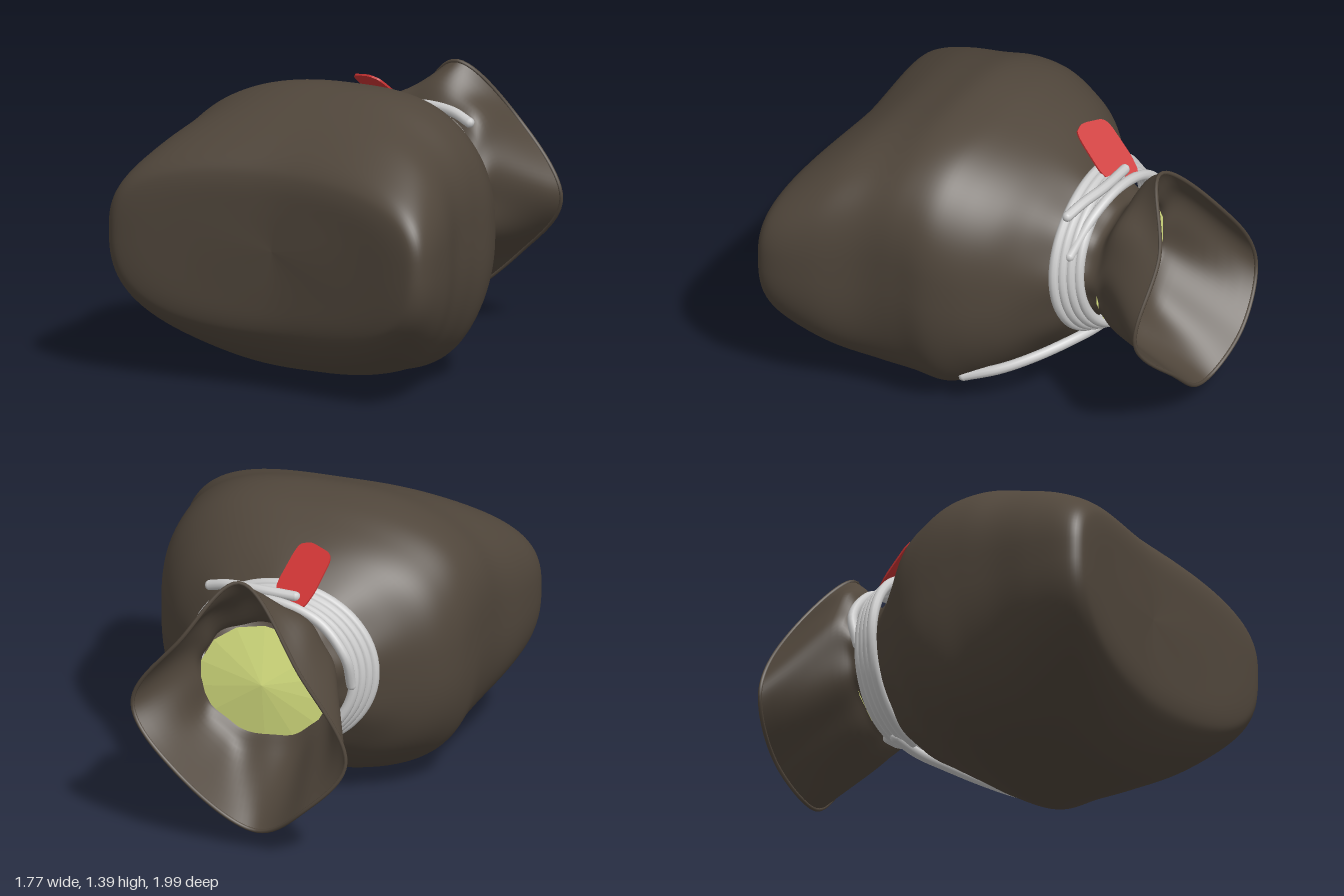
import * as THREE from 'three';

const V = (x, y, z) => new THREE.Vector3(x, y, z);
const mat = (color) => new THREE.MeshStandardMaterial({ color, side: THREE.DoubleSide });
const spow = (v, p) => Math.sign(v) * Math.pow(Math.abs(v), p);
const step = THREE.MathUtils.smoothstep;

// Sack cross-sections, base to neck: z, left x, right x, bottom y, top y, squareness
const SECTIONS = [
  [0.89, 0, 0, 0.7, 0.7, 2],
  [0.89, -0.42, 0.42, 0.47, 0.9, 2.5],
  [0.88, -0.74, 0.74, 0.33, 1.03, 2.8],
  [0.845, -0.85, 0.85, 0.25, 1.11, 2.7],
  [0.76, -0.885, 0.885, 0.16, 1.19, 2.6],
  [0.62, -0.87, 0.86, 0.075, 1.28, 2.6],
  [0.46, -0.83, 0.79, 0.03, 1.34, 2.7],
  [0.3, -0.82, 0.77, 0.015, 1.385, 2.7],
  [0.14, -0.81, 0.76, 0.0, 1.37, 2.7],
  [0, -0.78, 0.71, 0.055, 1.32, 2.5],
  [-0.12, -0.71, 0.63, 0.13, 1.26, 2.4],
  [-0.24, -0.57, 0.52, 0.21, 1.185, 2.2],
  [-0.36, -0.44, 0.42, 0.295, 1.1, 2],
  [-0.46, -0.37, 0.35, 0.42, 1.03, 2],
  [-0.55, -0.34, 0.33, 0.45, 1.01, 2],
  [-0.65, -0.39, 0.36, 0.33, 1.18, 2],
];

// Flared, wavy rim of the mouth, clockwise from the top
const RIM = new THREE.CatmullRomCurve3([
  V(0.06, 1.295, -0.76), V(0.31, 1.02, -0.9), V(0.55, 0.66, -0.9), V(0.3, 0.36, -0.97),
  V(-0.08, 0.1, -0.93), V(-0.34, 0.26, -0.985), V(-0.54, 0.52, -0.95), V(-0.29, 0.94, -0.91),
], true);

function sectionPoint([z, xl, xr, yb, yt, n], a) {
  // Soft lumps on the belly, gathered folds near the neck
  const neck = step(-z, 0.1, 0.5), full = step(z, -0.2, 0.3), belly = full * (1 - step(z, 0.6, 0.85));
  const s = 1 + neck * 0.02 * Math.sin(9 * a + 1) + belly * 0.006 * Math.sin(5 * a + 6 * z);
  const c = Math.cos(a), cy = yb + (0.5 + 0.05 * full) * (yt - yb);
  const x = (xl + xr) / 2 + s * (xr - xl) / 2 * spow(Math.sin(a), 2 / n) + 0.06 * belly * c ** 4;
  const y = cy + s * (c > 0 ? yt - cy : cy - yb) * spow(c, 2 / n);
  // The base corners reach further forward than its middle
  const reach = x < 0 ? 0.105 : 0.13;
  return V(x, y, z + step(z, 0.3, 0.9) * reach * Math.pow(Math.abs(x) / 0.8, 1.5));
}

function sackGeometry(cols = 120, rows = 96) {
  const pos = [], index = [];
  for (let j = 0; j < cols; j++) {
    const a = j / cols * Math.PI * 2;
    const points = SECTIONS.map((s) => sectionPoint(s, a));
    points.push(RIM.getPoint(j / cols));
    const curve = new THREE.CatmullRomCurve3(points, false, 'catmullrom', 0.5);
    for (let i = 0; i <= rows; i++) pos.push(...curve.getPoint(i / rows).toArray());
  }
  for (let j = 0; j < cols; j++) {
    for (let i = 0; i < rows; i++) {
      const p = j * (rows + 1) + i, q = ((j + 1) % cols) * (rows + 1) + i;
      index.push(p, q, p + 1, q, q + 1, p + 1);
    }
  }
  const g = new THREE.BufferGeometry();
  g.setAttribute('position', new THREE.Float32BufferAttribute(pos, 3));
  g.setIndex(index);
  g.computeVertexNormals();
  return g;
}

export function createModel() {
  const model = new THREE.Group();
  const add = (name, geometry, material, parent = model) => {
    const mesh = new THREE.Mesh(geometry, material);
    mesh.name = name;
    parent.add(mesh);
    return mesh;
  };
  const cloth = mat(0x50463b), rope = mat(0xcccccc);

  // Cloth sack with a thin hem on the rim
  add('sack', sackGeometry(), cloth);
  add('hem', new THREE.TubeGeometry(RIM, 120, 0.01, 6, true), cloth);

  // Faceted filling seen inside the mouth
  const filling = add('filling', new THREE.ConeGeometry(1, 1, 14, 1, true), mat(0xdfe985));
  filling.material.flatShading = true;
  filling.rotation.x = -Math.PI / 2;
  filling.scale.set(0.33, 0.05, 0.29);
  filling.position.set(0, 0.71, -0.59);

  // Rope: coils around the neck with round ends
  const binding = new THREE.Group();
  binding.name = 'rope';
  model.add(binding);
  const R = 0.025;
  const cord = (name, points, segments) => {
    add(name, new THREE.TubeGeometry(new THREE.CatmullRomCurve3(points), segments, R, 10), rope, binding);
    for (const p of [points[0], points[points.length - 1]])
      add(name + 'End', new THREE.SphereGeometry(R, 10, 8), rope, binding).position.copy(p);
  };
  const coil = [], turns = 4;
  for (let i = 0; i <= turns * 24; i++) {
    const t = i / 24, a = t * Math.PI * 2 + Math.PI;
    coil.push(V(
      -0.025 + (0.465 - 0.022 * t) * Math.sin(a),
      0.745 + (0.4 - 0.013 * t) * Math.cos(a),
      -0.35 - 0.034 * t - 0.014 * (1 - Math.cos(a)) ** 2,
    ));
  }
  cord('coils', coil, 320);
  cord('hangingTail', [
    V(-0.1, 0.35, -0.46), V(0.05, 0.32, -0.42), V(0.2, 0.305, -0.36),
    V(0.36, 0.26, -0.24), V(0.46, 0.21, -0.11), V(0.52, 0.155, 0.05),
  ], 50);
  cord('topTail', [V(-0.12, 1.13, -0.47), V(0.08, 1.14, -0.47), V(0.23, 1.13, -0.44), V(0.33, 1.1, -0.41)], 30);
  cord('crossingStrand', [
    V(-0.41, 0.72, -0.49), V(-0.39, 0.88, -0.53), V(-0.25, 1.04, -0.52),
    V(0, 1.11, -0.51), V(0.2, 1.05, -0.48), V(0.36, 0.9, -0.44),
  ], 40);

  // Red tag: rounded plate leaning up from the knot
  const corners = [
    [-0.05, -0.185], [0.045, -0.19], [0.13, -0.09], [0.07, 0.155], [0.005, 0.172], [-0.125, 0.11], [-0.085, -0.1],
  ].map(([x, y]) => new THREE.Vector2(x, y));
  const shape = new THREE.Shape();
  corners.forEach((p, i) => {
    const prev = corners.at(i - 1), next = corners[(i + 1) % corners.length];
    const from = p.clone().lerp(prev, 0.3), to = p.clone().lerp(next, 0.3);
    if (i === 0) shape.moveTo(from.x, from.y);
    else shape.lineTo(from.x, from.y);
    shape.quadraticCurveTo(p.x, p.y, to.x, to.y);
  });
  shape.closePath();
  const tag = add('tag', new THREE.ExtrudeGeometry(shape, { depth: 0.01, bevelEnabled: false }), mat(0xcc3333));
  tag.rotation.set(Math.PI / 2 - 0.68, -0.15, 0);
  tag.position.set(-0.125, 1.21, -0.37);

  return model;
}
